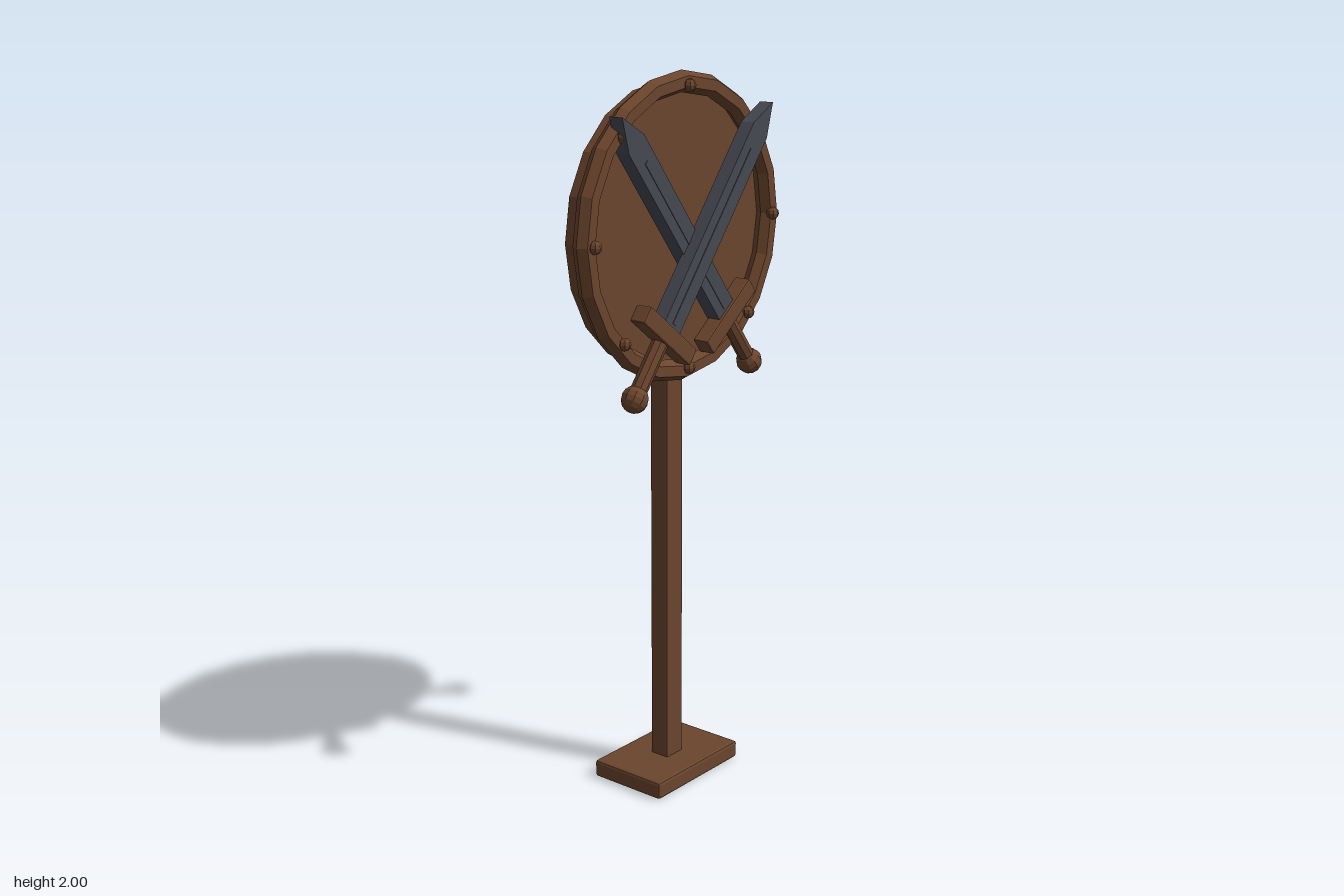
import * as THREE from 'three';
import { RoundedBoxGeometry } from 'three/addons/geometries/RoundedBoxGeometry.js';

export function createModel() {
  const model = new THREE.Group();
  model.name = 'swordSign';

  const wood = new THREE.MeshStandardMaterial({ color: 0x6b452d, flatShading: true });
  wood.name = 'brown wood';
  const steel = new THREE.MeshStandardMaterial({ color: 0x474953, flatShading: true });
  steel.name = 'dark steel';

  function add(parent, name, geometry, material, x = 0, y = 0, z = 0) {
    const mesh = new THREE.Mesh(geometry, material);
    mesh.name = name;
    mesh.position.set(x, y, z);
    parent.add(mesh);
    return mesh;
  }

  const CY = 1.585; // height of the board centre

  // Stand: foot plate and square post
  add(model, 'base', new RoundedBoxGeometry(0.36, 0.05, 0.24, 1, 0.008), wood, 0, 0.025, -0.015);
  add(model, 'post', new RoundedBoxGeometry(0.07, 1.18, 0.06, 1, 0.006), wood, 0, 0.63, -0.015);

  // Round board with chamfered edges
  const profile = [[0, -0.025], [0.374, -0.025], [0.384, -0.016], [0.384, 0.016], [0.374, 0.025], [0, 0.025]]
    .map(([r, y]) => new THREE.Vector2(r, y));
  const board = new THREE.LatheGeometry(profile, 20).rotateX(Math.PI / 2);
  add(model, 'board', board, wood, 0, CY, -0.015);

  // Raised six-sided rim
  add(model, 'rim', new THREE.TorusGeometry(0.386, 0.029, 6, 20), wood, 0, CY, 0.035);

  // Eight studs around the rim
  for (let i = 0; i < 8; i++) {
    const a = i * Math.PI / 4;
    add(model, 'stud', new THREE.SphereGeometry(0.018, 8, 6), wood,
      0.376 * Math.cos(a), CY + 0.376 * Math.sin(a), 0.063);
  }

  // Sword along +y, with its origin at the blade root
  function sword(name, side, z) {
    const group = new THREE.Group();
    group.name = name;

    const w = 0.0375, length = 0.7, shoulder = 0.61, thick = 0.043;
    const outline = new THREE.Shape();
    outline.moveTo(-w, -0.01);
    outline.lineTo(w, -0.01);
    outline.lineTo(w, shoulder);
    outline.lineTo(0, length);
    outline.lineTo(-w, shoulder);
    outline.closePath();
    const blade = new THREE.ExtrudeGeometry(outline, { depth: thick, bevelEnabled: false });
    add(group, 'blade', blade, steel, 0, 0, -thick / 2);
    add(group, 'bladeRidge', new THREE.BoxGeometry(0.014, 0.54, thick + 0.004), steel, 0, 0.28, 0);

    add(group, 'guard', new RoundedBoxGeometry(0.24, 0.05, 0.05, 1, 0.005), wood, 0, -0.025, 0.005);
    add(group, 'grip', new THREE.CylinderGeometry(0.023, 0.023, 0.16, 8), wood, 0, -0.12, 0.003);
    add(group, 'pommel', new THREE.SphereGeometry(0.037, 10, 8), wood, 0, -0.215, 0.003);

    group.position.set(-side * 0.138, 1.349, z);
    group.rotation.z = -side * 0.662;
    model.add(group);
  }
  sword('frontSword', 1, 0.097);
  sword('rearSword', -1, 0.062);

  return model;
}
